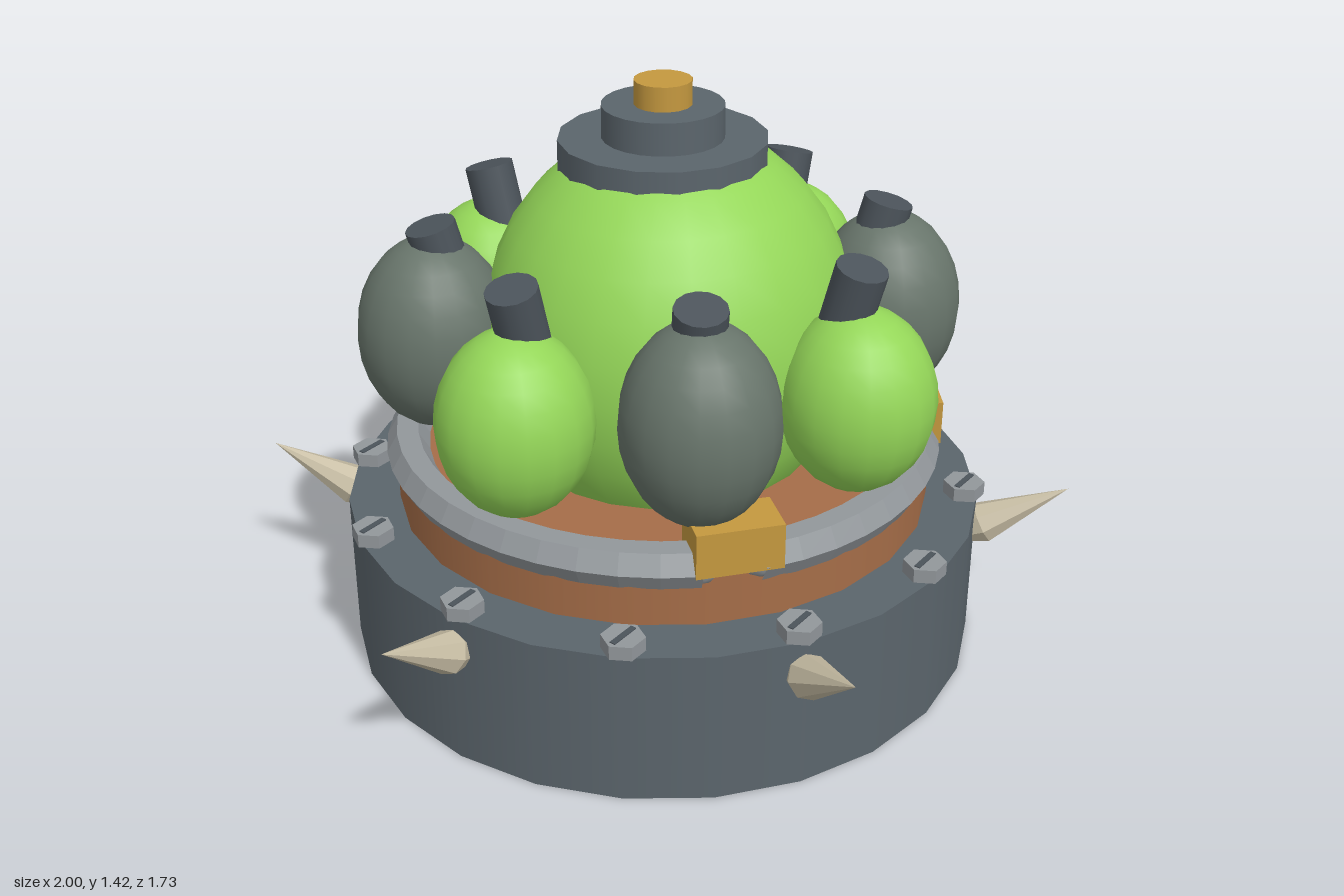
import * as THREE from 'three';

const mat = (name, color) => {
  const m = new THREE.MeshStandardMaterial({ color });
  m.name = name;
  return m;
};

export function createModel() {
  const root = new THREE.Group();
  root.name = 'podMine';
  const slate = mat('slate metal', 0x5b656c);
  const darkSlate = mat('dark slate', 0x4c545b);
  const copper = mat('copper', 0xa56d48);
  const steel = mat('light steel', 0x92979b);
  const green = mat('lime green', 0x94d658);
  const grey = mat('grey green', 0x68756b);
  const gold = mat('gold', 0xc4983f);
  const bone = mat('bone', 0xc8bea5);
  const flatSteel = steel;
  flatSteel.flatShading = false;

  const add = (parent, name, geometry, material, x = 0, y = 0, z = 0) => {
    const m = new THREE.Mesh(geometry, material);
    m.name = name;
    m.position.set(x, y, z);
    parent.add(m);
    return m;
  };
  // Upright cylinder standing between two heights
  const drum = (name, r, y0, y1, sides, material) =>
    add(root, name, new THREE.CylinderGeometry(r, r, y1 - y0, sides), material, 0, (y0 + y1) / 2, 0);
  // Group turned about the vertical axis; its own +z points outwards
  const spoke = (name, angle) => {
    const g = new THREE.Group();
    g.name = name;
    g.rotation.y = angle;
    root.add(g);
    return g;
  };
  const rad = THREE.MathUtils.degToRad;

  // Stacked body and crown
  drum('base', 0.78, 0, 0.38, 24, slate);
  drum('copperDrum', 0.655, 0.38, 0.51, 24, copper);
  drum('crownPlate', 0.245, 1.18, 1.283, 16, slate);
  drum('crownStep', 0.143, 1.28, 1.36, 24, slate);
  drum('crownKnob', 0.068, 1.36, 1.418, 16, gold);

  // Central dome
  const dome = add(root, 'dome', new THREE.SphereGeometry(1, 24, 16), green, 0, 0.805, 0.02);
  dome.scale.set(0.46, 0.5, 0.44);

  // Faceted rim pipe in two arcs with rounded ends
  const R = 0.627, tube = 0.052;
  const facet = (geometry) => {
    const g = geometry.toNonIndexed();
    g.computeVertexNormals();
    return g;
  };
  for (const [name, from, to] of [['frontRim', 56, 124], ['rearRim', 136, 404]]) {
    const segments = Math.round((to - from) / 8);
    const arc = facet(new THREE.TorusGeometry(R, tube, 6, segments, rad(to - from)));
    const g = new THREE.Group();
    g.name = name;
    g.rotation.set(Math.PI / 2, 0, 0);
    g.position.y = 0.52;
    root.add(g);
    add(g, name + 'Pipe', arc, steel).rotation.z = rad(from);
    for (const a of [from, to]) {
      add(g, 'rimEnd', new THREE.SphereGeometry(0.045, 10, 8), steel,
        R * Math.cos(rad(a)), R * Math.sin(rad(a)), 0);
    }
  }

  // Clips over the gaps in the rim
  for (const s of [-1, 1]) {
    const g = spoke(s > 0 ? 'leftClip' : 'rightClip', s * rad(39));
    add(g, 'clipBlock', new THREE.BoxGeometry(0.2, 0.11, 0.12), gold, 0, 0.57, 0.615);
  }

  // Ring of eight alternating pods with tilted necks
  const podShape = new THREE.SphereGeometry(1, 18, 14);
  const neckShape = new THREE.CylinderGeometry(0.06, 0.06, 0.18, 14);
  for (let i = 0; i < 8; i++) {
    const isGreen = i % 2 === 0;
    const g = spoke(isGreen ? 'greenPod' : 'greyPod', (i * Math.PI) / 4);
    const pod = add(g, 'podBody', podShape, isGreen ? green : grey, 0, isGreen ? 0.773 : 0.825, 0.547);
    pod.scale.set(0.18, isGreen ? 0.222 : 0.238, 0.182);
    add(g, 'podNeck', neckShape, darkSlate, 0, 1.005, 0.52).rotation.x = 0.26;
  }

  // Six spikes, swept upwards
  const spikeShape = facet(new THREE.LatheGeometry(
    [[0, -0.07], [0.03, -0.06], [0.052, 0], [0, 0.228]].map(([x, y]) => new THREE.Vector2(x, y)), 8));
  for (let i = 0; i < 6; i++) {
    const g = spoke('spike', Math.PI / 6 + (i * Math.PI) / 3);
    add(g, 'spikeCone', spikeShape, bone, 0, 0.302, 0.8).rotation.x = rad(61.5);
  }

  // Slotted hexagonal bolts around the base
  const boltShape = facet(new THREE.CylinderGeometry(0.05, 0.05, 0.034, 6));
  for (let i = 0; i < 12; i++) {
    const a = (i * Math.PI) / 6, x = 0.747 * Math.sin(a), z = 0.747 * Math.cos(a);
    add(root, 'bolt', boltShape, steel, x, 0.399, z).rotation.y = Math.PI / 6;
    add(root, 'boltSlot', new THREE.BoxGeometry(0.075, 0.005, 0.014), darkSlate, x, 0.416, z);
  }
  return root;
}
